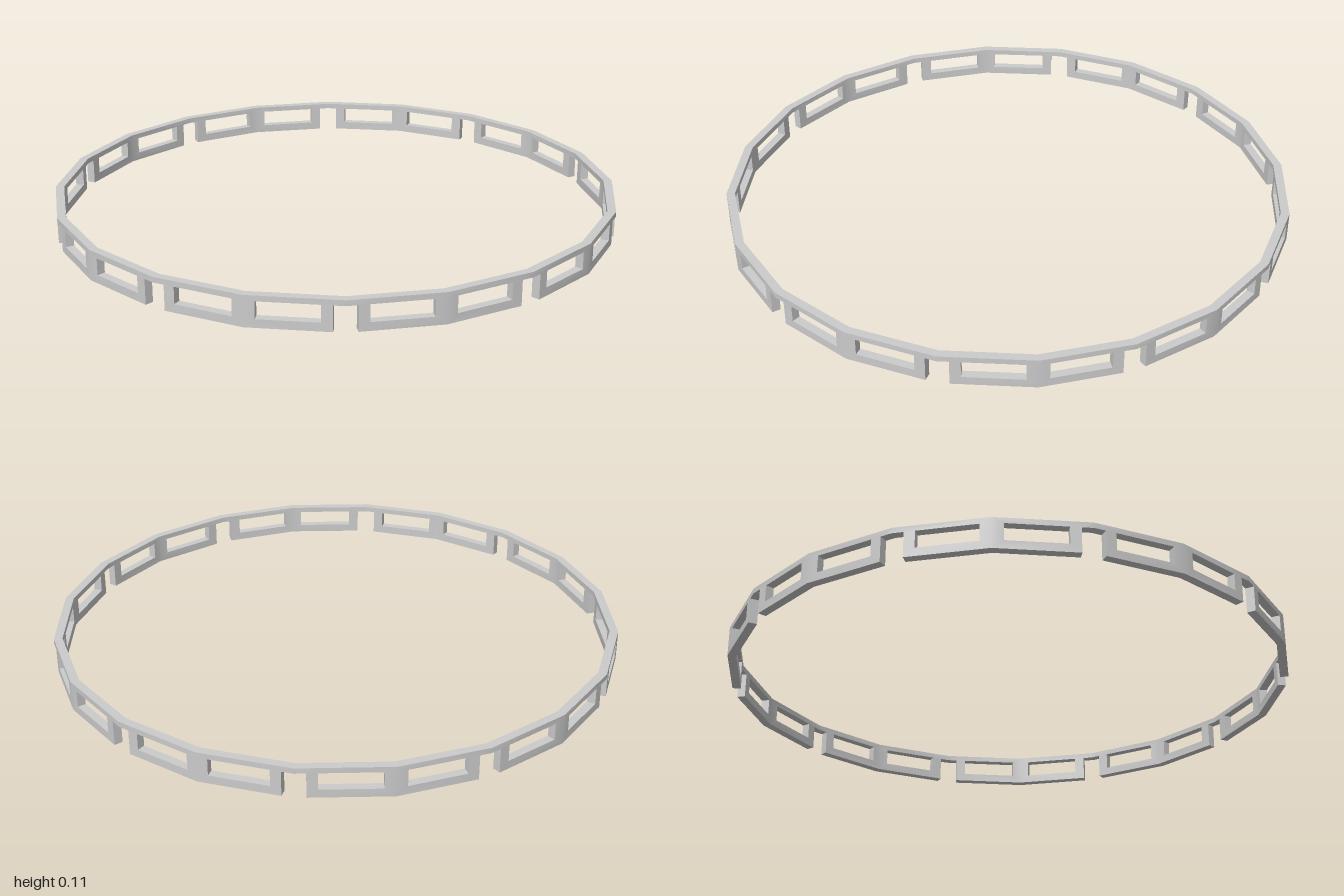
import * as THREE from 'three';
import { mergeGeometries, toCreasedNormals } from 'three/addons/utils/BufferGeometryUtils.js';

const SIDES = 20;
const STEP = (Math.PI * 2) / SIDES;
const RADIUS = 1, INNER = 0.97, HEIGHT = 0.107;
const LENGTH = 2 * RADIUS * Math.sin(STEP / 2);   // outer facet length
const APOTHEM = RADIUS * Math.cos(STEP / 2);
const DEPTH = (RADIUS - INNER) * Math.cos(STEP / 2);
const HALF_GAP = 0.039, RAIL = 0.088;             // notch half width, underside of top rail
const WINDOW = { from: 0.037, to: 0.238, bottom: 0.029 };

// One flat facet: window in the middle, half a notch at one end (side = 1 or -1)
function facet(side) {
  // Mirrored outlines are reversed so that they always run counter-clockwise
  const outline = (pairs) => {
    const pts = pairs.map(([u, y]) => new THREE.Vector2(side * (u - LENGTH / 2), y));
    return side < 0 ? pts.reverse() : pts;
  };
  const shape = new THREE.Shape(outline([
    [0, 0], [LENGTH - HALF_GAP, 0], [LENGTH - HALF_GAP, RAIL],
    [LENGTH, RAIL], [LENGTH, HEIGHT], [0, HEIGHT],
  ]));
  shape.holes.push(new THREE.Path(outline([
    [WINDOW.from, WINDOW.bottom], [WINDOW.from, RAIL],
    [WINDOW.to, RAIL], [WINDOW.to, WINDOW.bottom],
  ])));
  const geo = new THREE.ExtrudeGeometry(shape, { depth: DEPTH, bevelEnabled: false });
  geo.translate(0, 0, APOTHEM - DEPTH);

  // Mitre both ends and drop the hidden end caps
  const p = geo.attributes.position;
  const kept = [];
  for (let i = 0; i < p.count; i += 3) {
    const tri = [i, i + 1, i + 2];
    const atEnd = tri.map((j) => Math.abs(Math.abs(p.getX(j)) - LENGTH / 2) < 1e-5);
    if (atEnd.every(Boolean) && tri.every((j) => p.getX(j) * p.getX(i) > 0)) continue;
    tri.forEach((j, n) => {
      const x = p.getX(j), z = p.getZ(j);
      kept.push(atEnd[n] ? (x * z) / APOTHEM : x, p.getY(j), z);
    });
  }
  const out = new THREE.BufferGeometry();
  out.setAttribute('position', new THREE.Float32BufferAttribute(kept, 3));
  return out;
}

export function createModel() {
  const group = new THREE.Group();
  group.name = 'slottedRing';

  // Facets alternate so that notches meet at every second corner
  const parts = [];
  for (let k = 0; k < SIDES; k++) {
    parts.push(facet(k % 2 ? -1 : 1).rotateY((k + 0.5) * STEP));
  }
  const geometry = toCreasedNormals(mergeGeometries(parts), 0.5);
  const ring = new THREE.Mesh(geometry, new THREE.MeshStandardMaterial({ color: 0xcccccc }));
  ring.name = 'windowedBand';
  group.add(ring);
  return group;
}
